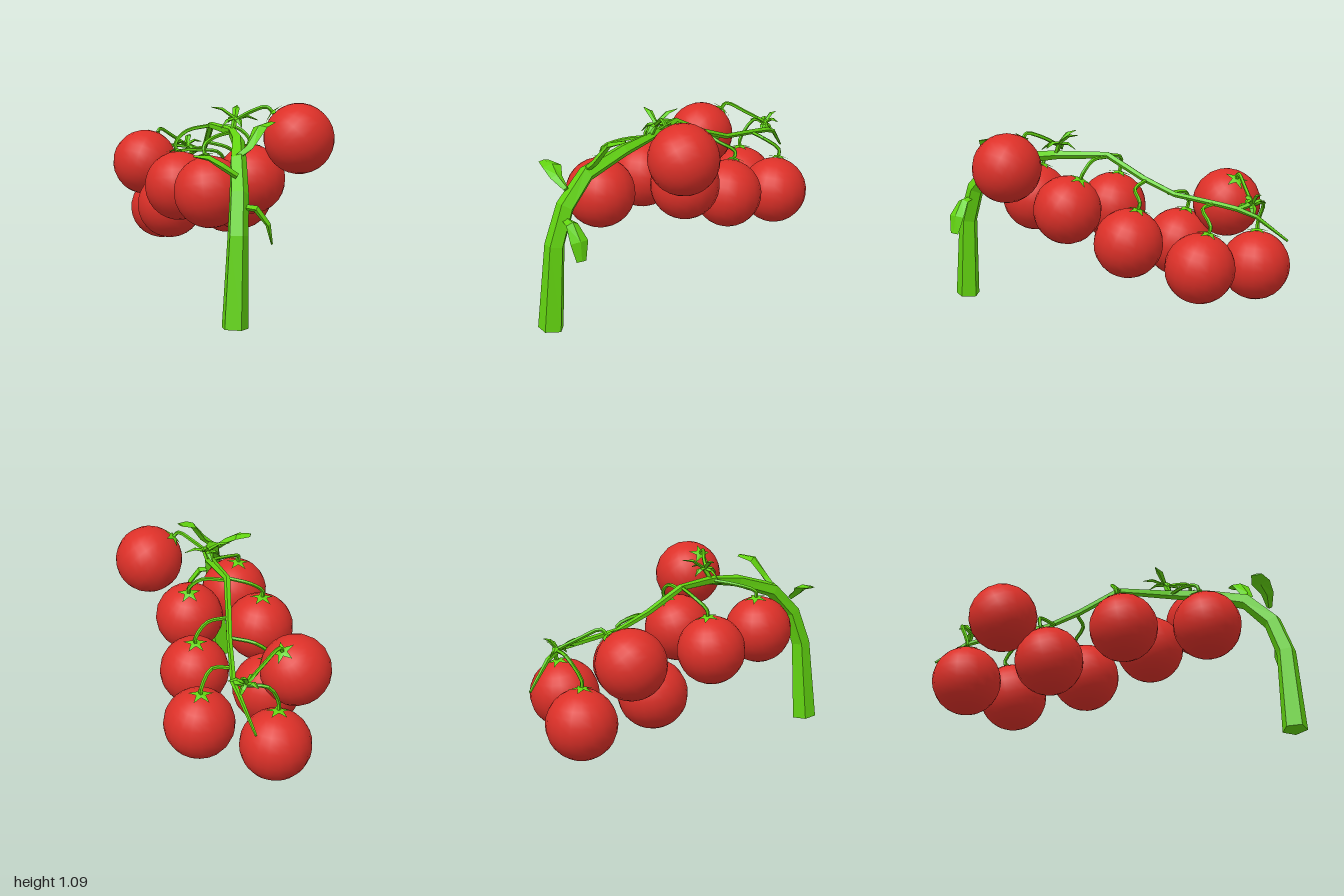
import * as THREE from 'three';

const red = new THREE.MeshStandardMaterial({ color: 0xdd3028 });
const green = new THREE.MeshStandardMaterial({ color: 0x62d410, flatShading: true, side: THREE.DoubleSide });
const UP = new THREE.Vector3(0, 1, 0);
const R = 0.192;
const vec = (p) => new THREE.Vector3(...p);

// Closed sweep along points; sizes are [half width, half thickness] per point
function sweep(pts, sizes, sides) {
  const n = pts.length;
  const ref = new THREE.Vector3().subVectors(pts[n - 1], pts[0]).cross(UP).normalize();
  const pos = [], idx = [];
  const ring = (i, k) => {
    const t = new THREE.Vector3().subVectors(pts[Math.min(i + 1, n - 1)], pts[Math.max(i - 1, 0)]).normalize();
    const up = new THREE.Vector3().crossVectors(t, ref).normalize();
    const side = new THREE.Vector3().crossVectors(up, t);
    for (let j = 0; j < sides; j++) {
      const a = (j / sides) * Math.PI * 2;
      const p = pts[i].clone()
        .addScaledVector(side, Math.cos(a) * sizes[i][0] * k)
        .addScaledVector(up, Math.sin(a) * sizes[i][1] * k);
      pos.push(p.x, p.y, p.z);
    }
  };
  ring(0, 0);
  for (let i = 0; i < n; i++) ring(i, 1);
  ring(n - 1, 0);
  for (let i = 0; i <= n; i++) {
    for (let j = 0; j < sides; j++) {
      const a = i * sides + j, b = i * sides + ((j + 1) % sides);
      idx.push(a, b, a + sides, b, b + sides, a + sides);
    }
  }
  const g = new THREE.BufferGeometry();
  g.setAttribute('position', new THREE.Float32BufferAttribute(pos, 3));
  g.setIndex(idx);
  g.computeVertexNormals();
  return g;
}

// Five-pointed calyx, y up, tips drooping over the fruit
function calyxGeometry() {
  const pos = [0, 0.014, 0], idx = [];
  for (let i = 0; i < 10; i++) {
    const a = (i / 10) * Math.PI * 2, tip = i % 2 === 0;
    const r = tip ? 0.07 : 0.027;
    pos.push(Math.cos(a) * r, tip ? -0.004 : 0.006, Math.sin(a) * r);
    idx.push(0, 1 + ((i + 1) % 10), 1 + i);
  }
  const g = new THREE.BufferGeometry();
  g.setAttribute('position', new THREE.Float32BufferAttribute(pos, 3));
  g.setIndex(idx);
  g.computeVertexNormals();
  return g;
}

export function createModel() {
  const model = new THREE.Group();
  model.name = 'tomatoVine';
  const add = (name, geometry, material, parent = model) => {
    const m = new THREE.Mesh(geometry, material);
    m.name = name;
    parent.add(m);
    return m;
  };

  // Main stem: x, y, z, radius
  const stem = [
    [0.255, 0.01, 0.93, 0.072], [0.265, 0.48, 0.9, 0.056], [0.26, 0.68, 0.83, 0.052],
    [0.235, 0.83, 0.69, 0.046], [0.2, 0.91, 0.45, 0.036], [0.14, 0.94, 0.25, 0.026],
    [-0.02, 0.95, 0, 0.02], [-0.08, 0.84, -0.22, 0.018], [-0.13, 0.77, -0.41, 0.016],
    [-0.21, 0.74, -0.69, 0.016], [-0.23, 0.73, -0.77, 0.016], [-0.29, 0.69, -0.86, 0.013],
    [-0.4, 0.56, -0.99, 0.007],
  ];
  add('mainStem', sweep(stem.map((s) => vec(s.slice(0, 3))), stem.map((s) => [s[3], s[3]]), 5), green);

  // Fruits: centre, calyx offset in x and z, stalk start, stalk middle
  const fruits = [
    [[-0.45, 0.37, -0.73], [-0.01, 0], [-0.3, 0.74, -0.81], [-0.42, 0.74, -0.8]],
    [[-0.03, 0.42, -0.69], [-0.02, -0.04], [-0.2, 0.74, -0.64], [-0.09, 0.73, -0.65]],
    [[-0.5, 0.68, -0.47], [0.05, -0.11], [-0.31, 0.75, -0.81], [-0.38, 0.82, -0.7]],
    [[-0.31, 0.45, -0.28], [-0.02, -0.04], [-0.13, 0.77, -0.36], [-0.26, 0.76, -0.37]],
    [[0.1, 0.51, -0.28], [-0.02, -0.05], [-0.08, 0.83, -0.24], [0.03, 0.8, -0.26]],
    [[-0.18, 0.62, 0.12], [-0.02, -0.03], [-0.02, 0.95, 0.01], [-0.15, 0.92, 0.03]],
    [[0.22, 0.66, 0.08], [-0.02, -0.08], [-0.02, 0.94, 0], [0.12, 0.94, -0.02]],
    [[0.505, 0.91, 0.26], [-0.135, 0.02], [0.15, 1.0, 0.23], [0.24, 1.05, 0.25]],
    [[0.06, 0.645, 0.52], [-0.03, -0.03], [0.14, 0.94, 0.26], [0.06, 0.92, 0.38]],
  ];
  const calyxGeo = calyxGeometry();
  const fruitGeo = new THREE.SphereGeometry(R, 20, 14);
  for (const [c, [dx, dz], start, mid] of fruits) {
    const dir = new THREE.Vector3(dx, Math.sqrt(R * R - dx * dx - dz * dz), dz).normalize();
    const fruit = new THREE.Group();
    fruit.name = 'fruit';
    fruit.position.set(...c);
    fruit.quaternion.setFromUnitVectors(UP, dir);
    model.add(fruit);
    add('tomato', fruitGeo, red, fruit);
    add('calyx', calyxGeo, green, fruit).position.y = R + 0.003;

    // Arching stalk that enters the calyx along its axis
    const at = (d) => vec(c).addScaledVector(dir, d);
    const curve = new THREE.CatmullRomCurve3([vec(start), vec(mid), at(R + 0.05), at(R)]);
    add('stalk', sweep(curve.getPoints(9), Array(10).fill([0.011, 0.011]), 5), green);
  }

  // Broad leaves on the lower stem
  const leaves = [
    [[0.27, 0.62, 0.85], [0.35, 0.61, 0.84], [0.41, 0.53, 0.83], [0.43, 0.43, 0.83]],
    [[0.25, 0.77, 0.82], [0.18, 0.82, 0.84], [0.11, 0.86, 0.83], [0.03, 0.87, 0.84]],
    [[0.23, 0.85, 0.69], [0.29, 0.9, 0.67], [0.34, 1.0, 0.61], [0.39, 1.02, 0.54]],
  ];
  const leafSize = [[0.016, 0.016], [0.036, 0.018], [0.055, 0.014], [0.03, 0.005]];
  for (const l of leaves) add('leaf', sweep(l.map(vec), leafSize, 4), green);

  // Spiky leaflet tufts: stem root, centre, tips
  const tufts = [
    [[0.14, 0.93, 0.26], [0.15, 1.01, 0.22],
      [[0.02, 1.07, 0.22], [0.14, 1.07, 0.08], [0.27, 1.0, 0.19], [0.08, 0.96, 0.27], [0.2, 0.97, 0.31], [0.1, 0.98, 0.14]]],
    [[-0.24, 0.73, -0.78], [-0.31, 0.75, -0.81],
      [[-0.3, 0.81, -0.88], [-0.24, 0.71, -0.74], [-0.38, 0.75, -0.85], [-0.22, 0.77, -0.84], [-0.28, 0.68, -0.85], [-0.35, 0.77, -0.73]]],
  ];
  for (const [root, centre, tips] of tufts) {
    add('tuftStalk', sweep([vec(root), vec(centre)], [[0.014, 0.014], [0.016, 0.016]], 5), green);
    for (const tip of tips) {
      const mid = vec(centre).lerp(vec(tip), 0.55);
      mid.y += 0.018;
      add('leaflet', sweep([vec(centre), mid, vec(tip)], [[0.012, 0.01], [0.02, 0.008], [0.003, 0.002]], 4), green);
    }
  }
  return model;
}
